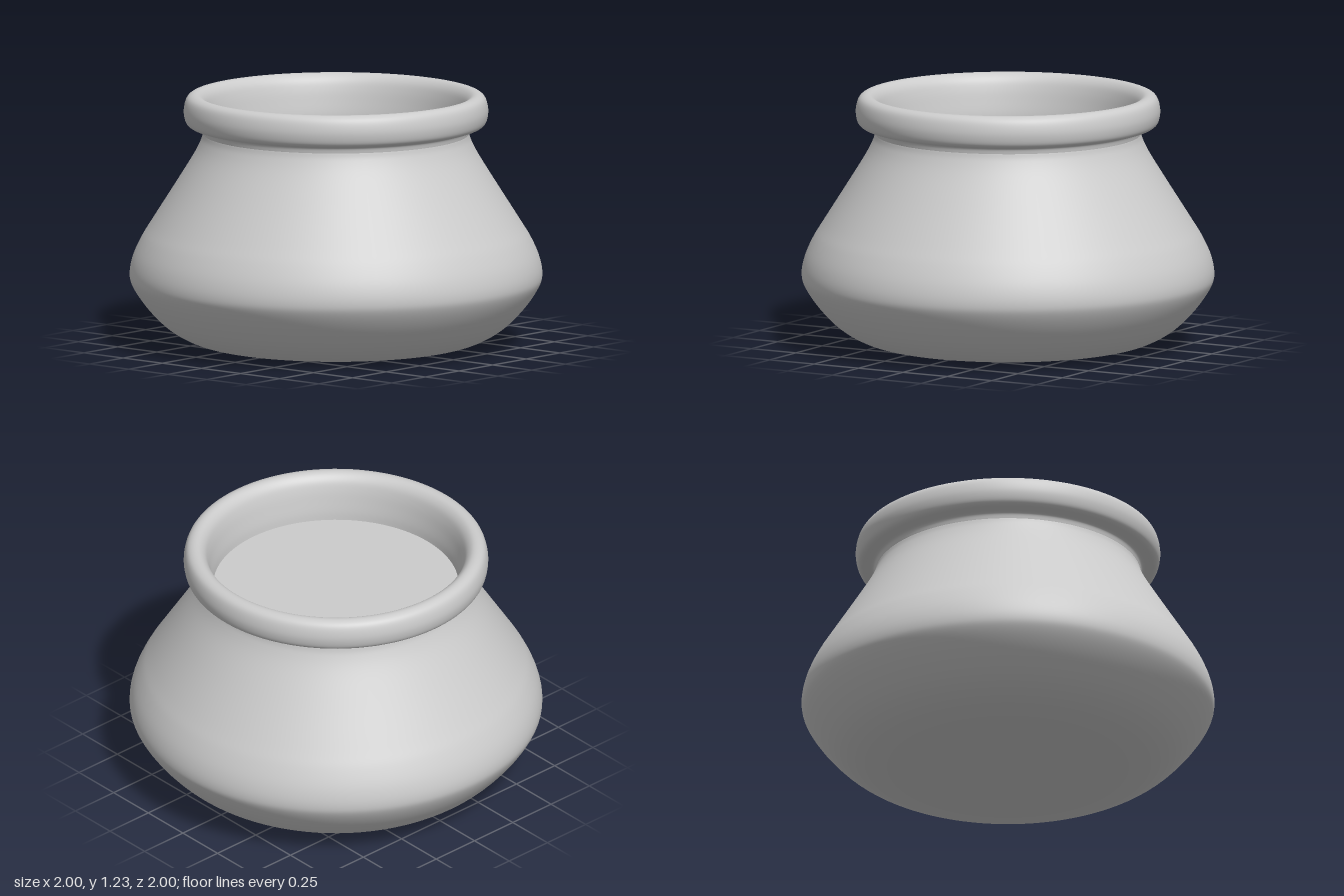
import * as THREE from 'three';

const SEGMENTS = 96;

// Smooth surface of revolution through [radius, height] points
function turned(name, points, samples, material) {
  const curve = new THREE.SplineCurve(points.map(([r, y]) => new THREE.Vector2(r, y)));
  const mesh = new THREE.Mesh(new THREE.LatheGeometry(curve.getPoints(samples), SEGMENTS), material);
  mesh.name = name;
  return mesh;
}

export function createModel() {
  const group = new THREE.Group();
  group.name = 'pot';
  const material = new THREE.MeshStandardMaterial({ color: 0xcccccc, side: THREE.DoubleSide });

  // Squat belly, from the centre of the base up to the narrow neck
  const body = turned('body', [
    [0, 0], [0.25, 0], [0.5, 0.002], [0.65, 0.015], [0.75, 0.05], [0.84, 0.11],
    [0.925, 0.2], [0.985, 0.29], [1, 0.35], [0.985, 0.43], [0.945, 0.52],
    [0.89, 0.61], [0.77, 0.8], [0.69, 0.93], [0.655, 1.0], [0.645, 1.035],
  ], 90, material);

  // Thick rolled rim, from the neck over the lip and down the inner wall
  const rim = turned('rim', [
    [0.645, 1.035], [0.652, 1.06], [0.675, 1.07], [0.708, 1.075], [0.729, 1.095],
    [0.738, 1.14], [0.732, 1.185], [0.717, 1.214], [0.69, 1.227], [0.66, 1.222],
    [0.634, 1.195], [0.618, 1.15], [0.606, 1.09], [0.598, 1.04], [0.595, 1.0],
  ], 70, material);

  // Flat surface of the contents
  const contents = new THREE.Mesh(new THREE.CircleGeometry(0.597, SEGMENTS), material);
  contents.name = 'contents';
  contents.rotation.x = -Math.PI / 2;
  contents.position.y = 1.0;

  group.add(body, rim, contents);
  return group;
}
